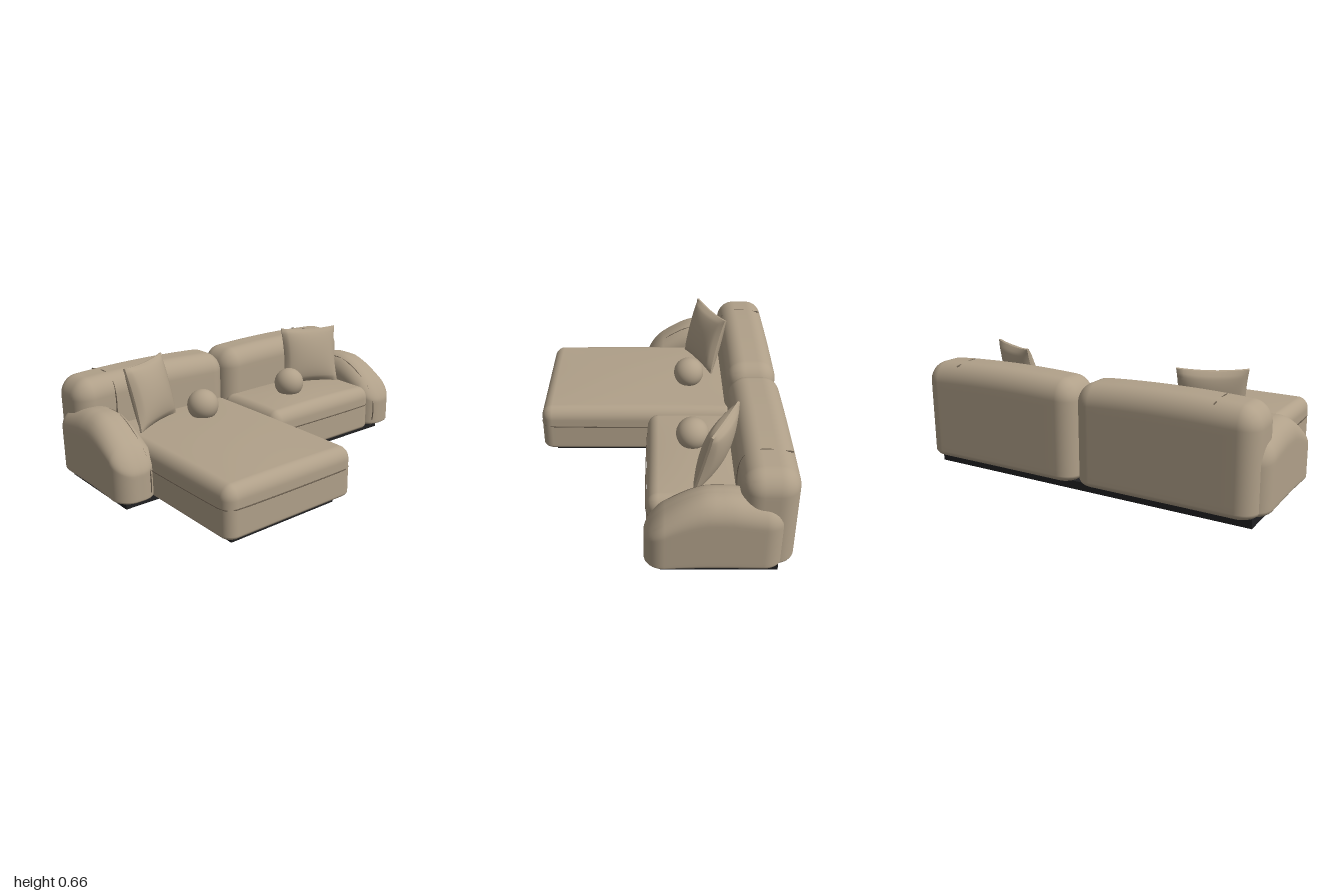
import * as THREE from 'three';
import { mergeVertices, mergeGeometries } from 'three/addons/utils/BufferGeometryUtils.js';

const fabric = new THREE.MeshStandardMaterial({ color: 0xb0a089 });
fabric.name = 'fabric';
const seamDark = new THREE.MeshStandardMaterial({ color: 0x6b5f50 });
seamDark.name = 'seam';
const plinthBlack = new THREE.MeshStandardMaterial({ color: 0x202022 });
plinthBlack.name = 'plinth black';

const CORNER = 6, FLAT = 12;

// Places grid line i of a box side: even angles in the corners, even steps between
function gridLine(i, half, r) {
  const n = CORNER * 2 + FLAT;
  if (i < CORNER) return -(half - r) - r * Math.tan((Math.PI / 4) * (1 - i / CORNER));
  if (i > n - CORNER) return -gridLine(n - i, half, r);
  return (half - r) * (2 * (i - CORNER) / FLAT - 1);
}

// Soft rounded block spanning min..max; bottom edge tighter than the top; warp(v) shapes it
function cushion(min, max, r, bottom, warp) {
  const n = CORNER * 2 + FLAT;
  const lo = new THREE.Vector3(...min), hi = new THREE.Vector3(...max);
  const mid = lo.clone().add(hi).multiplyScalar(0.5);
  const half = hi.clone().sub(lo).multiplyScalar(0.5);
  const inner = half.clone().subScalar(r);
  const geo = new THREE.BoxGeometry(1, 1, 1, n, n, n);
  const pos = geo.attributes.position;
  const v = new THREE.Vector3(), core = new THREE.Vector3();
  for (let i = 0; i < pos.count; i++) {
    v.fromBufferAttribute(pos, i);
    for (const a of ['x', 'y', 'z']) v[a] = gridLine(Math.round((v[a] + 0.5) * n), half[a], r);
    core.copy(v).clamp(inner.clone().negate(), inner);
    v.sub(core).normalize().multiplyScalar(r).add(core);
    const h = v.y + half.y, H = half.y * 2;
    v.y = -half.y + (h < r ? h * bottom : r * bottom + (h - r) * (H - r * bottom) / (H - r));
    const u = v.x / half.x, w = v.z / half.z, t = h / H;
    v.add(mid);
    if (warp) warp(v, u, w, t);
    pos.setXYZ(i, v.x, v.y, v.z);
  }
  geo.deleteAttribute('uv');
  geo.deleteAttribute('normal');
  const smooth = mergeVertices(geo, 1e-5);
  smooth.computeVertexNormals();
  return smooth;
}

// Square pillow: two bulged sheets meeting at a sharp, slightly pinched edge
function pillowGeometry(size, thick) {
  const sheets = [0, Math.PI].map((turn) => {
    const geo = new THREE.PlaneGeometry(2, 2, 20, 20);
    const pos = geo.attributes.position;
    for (let i = 0; i < pos.count; i++) {
      const u = pos.getX(i), v = pos.getY(i);
      const a = 1 - u * u, b = 1 - v * v;
      pos.setXYZ(i, u * (1 - 0.07 * b) * size / 2, v * (1 - 0.07 * a) * size / 2,
        0.006 + thick / 2 * Math.pow(Math.max(a * b, 0), 0.5));
    }
    geo.computeVertexNormals();
    return geo.rotateY(turn);
  });
  // Narrow rim closing the two sheets
  const rim = new THREE.BoxGeometry(2, 2, 0.012, 20, 20, 1);
  const p = rim.attributes.position;
  for (let i = 0; i < p.count; i++) {
    const u = p.getX(i), v = p.getY(i);
    p.setXY(i, u * (1 - 0.07 * (1 - v * v)) * size / 2, v * (1 - 0.07 * (1 - u * u)) * size / 2);
  }
  return mergeGeometries([...sheets, rim]);
}

function tube(points, closed = false) {
  const curve = new THREE.CatmullRomCurve3(points.map((p) => new THREE.Vector3(...p)), closed, 'centripetal');
  return new THREE.TubeGeometry(curve, 80, 0.0035, 6, closed);
}

// Seam loop round a seat at height y
function seatSeam(x0, x1, z0, z1, y) {
  const r = 0.06, pts = [];
  [[x1 - r, z1 - r], [x0 + r, z1 - r], [x0 + r, z0 + r], [x1 - r, z0 + r]].forEach(([cx, cz], k) => {
    for (let i = 0; i <= 4; i++) {
      const a = (k + i / 4) * Math.PI / 2;
      pts.push([cx + r * Math.cos(a), y, cz + r * Math.sin(a)]);
    }
  });
  return tube(pts, true);
}

export function createModel() {
  const model = new THREE.Group();
  model.name = 'sectionalSofa';
  const add = (name, geo, mat) => {
    const mesh = new THREE.Mesh(geo, mat);
    mesh.name = name;
    model.add(mesh);
    return mesh;
  };

  // Recessed L-shaped plinth
  add('mainPlinth', new THREE.BoxGeometry(1.86, 0.045, 0.57).translate(0, 0.0225, -0.305), plinthBlack);
  add('chaisePlinth', new THREE.BoxGeometry(0.66, 0.045, 0.61).translate(-0.4, 0.0225, 0.285), plinthBlack);

  // Seats with gently crowned tops
  const crown = (v, u, w, t) => {
    v.y += 0.017 * (1 - u * u) * (1 - w * w) * t;
  };
  const seats = [['chaise', -0.8, 0, 0.66], ['seat', 0, 0.79, 0.05]];
  for (const [name, x0, x1, z1] of seats) {
    add(name, cushion([x0, 0.038, -0.45], [x1, 0.312, z1], 0.06, 0.5, crown), fabric);
    add(name + 'Seam', seatSeam(x0, x1, -0.45, z1, 0.202), seamDark);
  }

  // Arm tops sweep down towards the front
  const slope = (z) => 1 - 0.45 * Math.pow(THREE.MathUtils.clamp((z + 0.25) / 0.31, 0, 1), 1.5);
  const sweep = (v) => {
    v.y = 0.04 + (v.y - 0.04) * slope(v.z);
    if (v.z < -0.35) v.y -= 0.12 * (v.y - 0.04) * Math.min(1, (-0.35 - v.z) / 0.25);
  };
  const armSeam = [[0.04, 0.06], [0.055, 0.12], [0.054, 0.2], [0.035, 0.257], [0, 0.308], [-0.04, 0.343],
    [-0.1, 0.385], [-0.18, 0.425], [-0.26, 0.443], [-0.39, 0.436]];

  // Back top: highest mid-cushion, easing down to each end
  const backTop = (v, u, w, t) => {
    v.y -= 0.018 * u * u * t;
  };
  const backSeam = [[-0.389, 0.33], [-0.389, 0.48], [-0.415, 0.548], [-0.49, 0.585], [-0.56, 0.582], [-0.64, 0.572]];

  for (const s of [-1, 1]) {
    const side = s > 0 ? 'left' : 'right';
    const span = (a, b) => (s > 0 ? [a, b] : [-b, -a]);

    const [a0, a1] = span(0.765, 1.0);
    add(side + 'Arm', cushion([a0, 0.04, -0.61], [a1, 0.45, 0.06], 0.1, 0.5, sweep), fabric);
    add(side + 'ArmSeam', tube(armSeam.map(([z, y]) => [s * 0.82, y - 0.008, z - 0.004])), seamDark);

    const [b0, b1] = span(0.002, 0.962);
    add(side + 'Back', cushion([b0, 0.04, -0.665], [b1, 0.592, -0.39], 0.095, 0.5, backTop), fabric);
    add(side + 'BackSeam', tube(backSeam.map(([z, y]) => [s * 0.745, y, z])), seamDark);

    // Pillow turned inwards and leaning on the back
    const pillow = add(side + 'Pillow', pillowGeometry(0.35, 0.11), fabric);
    pillow.rotation.set(-0.24, -s * 0.44, 0, 'YXZ');
    pillow.position.set(s * 0.585, 0.487, -0.295);

    // Round ball cushion
    add(side + 'BallCushion', new THREE.SphereGeometry(0.087, 32, 20), fabric).position.set(s * 0.32, 0.382, -0.19);
  }
  return model;
}
